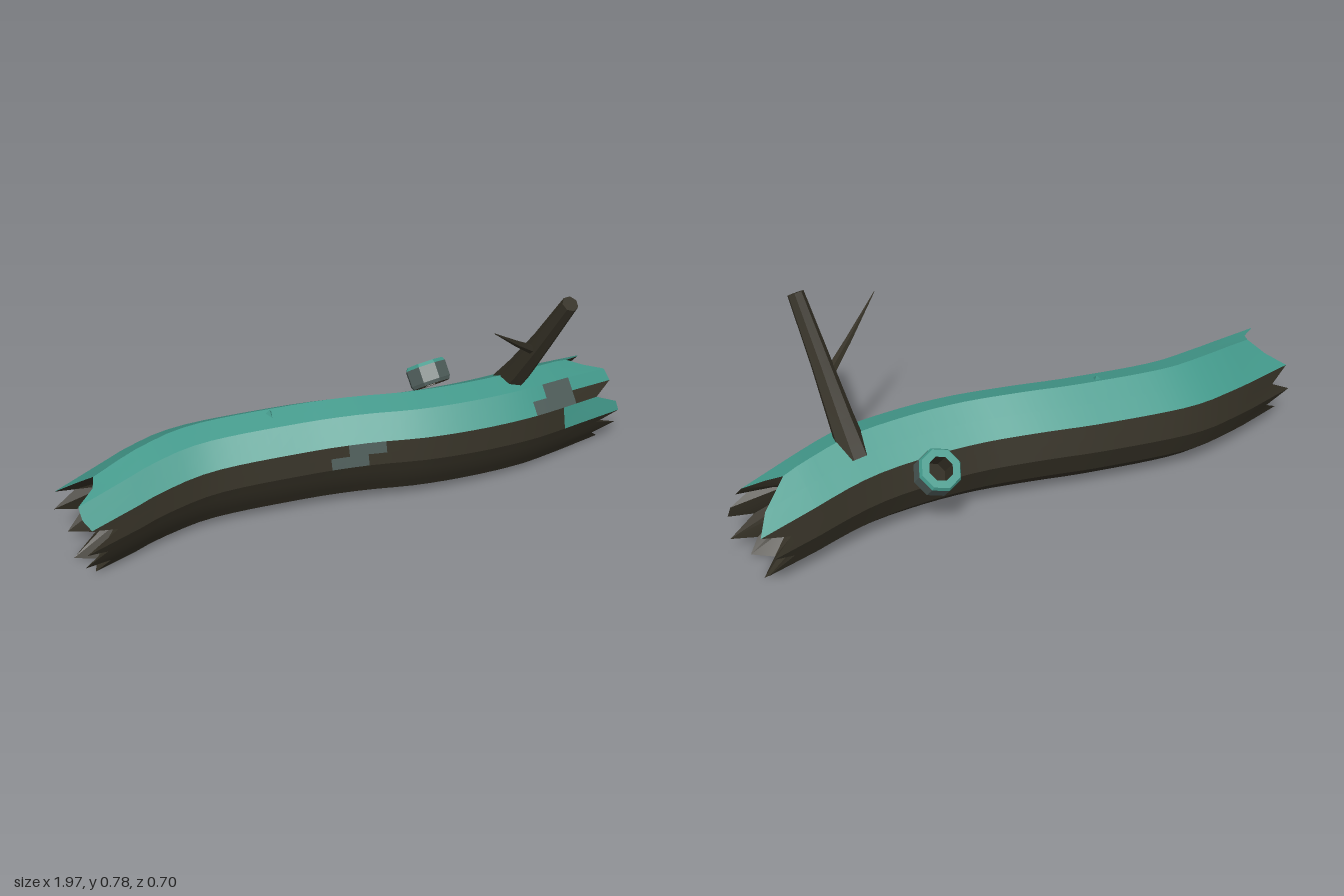
import * as THREE from 'three';
import { toCreasedNormals } from 'three/addons/utils/BufferGeometryUtils.js';

const mat = (name, color) => new THREE.MeshStandardMaterial({ name, color });

// Skins closed rings of points; pick(row, segment) gives the colour key of each quad
function loft(name, rows, pick, mats, crease = 0.4) {
  const sets = {};
  const n = rows[0].length;
  for (let i = 0; i < rows.length - 1; i++) {
    for (let k = 0; k < n; k++) {
      const m = (k + 1) % n;
      const a = rows[i][k], b = rows[i][m], c = rows[i + 1][k], d = rows[i + 1][m];
      const out = (sets[pick(i, k)] ??= []);
      for (const tri of [[a, b, c], [b, d, c]]) {
        const [p, q, r] = tri;
        if (p.distanceTo(q) < 1e-5 || q.distanceTo(r) < 1e-5 || p.distanceTo(r) < 1e-5) continue;
        tri.forEach((v) => out.push(v.x, v.y, v.z));
      }
    }
  }
  const group = new THREE.Group();
  group.name = name;
  for (const key in sets) {
    const geo = new THREE.BufferGeometry();
    geo.setAttribute('position', new THREE.Float32BufferAttribute(sets[key], 3));
    const mesh = new THREE.Mesh(toCreasedNormals(geo, crease), mats[key]);
    mesh.name = name + key[0].toUpperCase() + key.slice(1);
    group.add(mesh);
  }
  return group;
}

// Ring of points around an axis
function ring(center, axis, radius, sides) {
  const q = new THREE.Quaternion().setFromUnitVectors(new THREE.Vector3(0, 1, 0), axis);
  return Array.from({ length: sides }, (_, k) => {
    const t = (k / sides) * Math.PI * 2;
    return new THREE.Vector3(Math.sin(t) * radius, 0, Math.cos(t) * radius).applyQuaternion(q).add(center);
  });
}

// Tapered stick along points [x, y, z, radius]
function stick(name, pts, sides, mats) {
  const v = pts.map((p) => new THREE.Vector3(p[0], p[1], p[2]));
  const axis = v[v.length - 1].clone().sub(v[0]).normalize();
  const rows = pts.map((p, i) => ring(v[i], axis, p[3], sides));
  rows.push(ring(v[v.length - 1], axis, 0, sides));
  return loft(name, rows, () => 'bark', mats);
}

// Centre line of the log
const spine = new THREE.CatmullRomCurve3([
  [-1.0, 0.165, -0.125], [-0.85, 0.178, -0.15], [-0.7, 0.197, -0.18], [-0.5, 0.21, -0.19],
  [-0.2, 0.22, -0.125], [0, 0.225, -0.065], [0.2, 0.22, 0], [0.4, 0.213, 0.038],
  [0.6, 0.203, 0.05], [0.85, 0.176, 0.022], [1.0, 0.158, 0.008],
].map((p) => new THREE.Vector3(...p)), false, 'catmullrom');

function spineAt(x) {
  let lo = 0, hi = 1;
  for (let i = 0; i < 24; i++) {
    const mid = (lo + hi) / 2;
    if (spine.getPoint(mid).x < x) lo = mid; else hi = mid;
  }
  return spine.getPoint(lo);
}

// Cross-section corners [z, y], from the top round by the front
const SECTION = [
  [0, 0.172], [0.08, 0.148], [0.14, 0.07], [0.155, -0.01], [0.125, -0.085],
  [0.08, -0.16], [-0.05, -0.168], [-0.12, -0.1], [-0.157, -0.005], [-0.13, 0.09],
];
const SEGS = SECTION.length * 2;

function logPoint(x, k, scale) {
  const a = SECTION[Math.floor(k / 2)];
  const b = SECTION[Math.ceil(k / 2) % SECTION.length];
  const s = scale * (1 - 0.08 * Math.max(0, (Math.abs(x) - 0.6) / 0.4));
  const c = spineAt(x);
  return new THREE.Vector3(x, c.y + s * (a[1] + b[1]) / 2, c.z + s * (a[0] + b[0]) / 2);
}

// How far each splinter reaches at the two broken ends
const LEFT_TIPS = [0.88, 0.9, 0.97, 0.97, 0.95, 0.86, 0.98, 0.9, 0.98, 0.88, 0.93, 0.9, 0.96, 0.86, 0.95, 0.88, 0.98, 0.9, 0.98, 0.92];
const RIGHT_TIPS = [0.83, 0.88, 0.95, 0.96, 0.88, 0.97, 0.98, 0.89, 0.99, 0.9, 0.94, 0.88, 0.95, 0.88, 0.96, 0.87, 0.95, 0.88, 0.98, 0.93];

function buildLog(mats) {
  const xs = Array.from({ length: 27 }, (_, i) => -0.78 + i * 0.06);
  const at = (x, scale) => Array.from({ length: SEGS }, (_, k) => logPoint(x, k, scale));
  const tips = (list, side) => list.map((x, k) => logPoint(side * x, k, 0.97));
  // outer bark, right splinters, hollow core, back to the left splinters
  const rows = [
    tips(LEFT_TIPS, -1), ...xs.map((x) => at(x, 1)), tips(RIGHT_TIPS, 1),
    ...[0.8, 0.6, 0.4, 0.2, 0, -0.2, -0.4, -0.6, -0.8].map((x) => at(x, 0.6)),
    tips(LEFT_TIPS, -1),
  ];
  const pick = (i, k) => {
    if (i > xs.length) return 'bark';
    const x = -0.81 + i * 0.06;
    // pale patches along the moss edge
    if ((k === 4 && x > -0.06 && x < 0.07) || (k === 5 && x > -0.1 && x < 0.02)) return 'lichen';
    if ((k === 3 && x > 0.58 && x < 0.78) || (k === 2 && x > 0.68 && x < 0.78)) return 'lichen';
    if (k === 3 && x > 0.78) return 'bark';
    if ((k === 4 || k === 5) && x > 0.7) return 'moss';
    return k < 4 || k >= 18 ? 'moss' : 'bark';
  };
  return loft('log', rows, pick, mats);
}

// Short hollow knot at the back
function buildKnot(mats) {
  const axis = new THREE.Vector3(0, 0.77, -0.64).normalize();
  const center = new THREE.Vector3(0.39, 0.305, -0.18);
  const rows = [[-0.04, 0.068], [-0.028, 0.075], [0.028, 0.075], [0.04, 0.068], [0.04, 0.042], [-0.04, 0.042], [-0.04, 0.068]]
    .map(([h, r]) => ring(center.clone().addScaledVector(axis, h), axis, r, 8));
  const colours = ['lichen', 'lichen', 'moss', 'moss', 'bark', 'bark'];
  return loft('knot', rows, (i) => colours[i], mats);
}

export function createModel() {
  const mats = {
    bark: mat('bark', 0x343025),
    moss: mat('moss', 0x43998b),
    lichen: mat('lichen', 0x4e5c59),
  };
  const model = new THREE.Group();
  model.name = 'fallenLog';
  model.add(buildLog(mats), buildKnot(mats));

  // Leaning branch with a thin twig
  model.add(stick('branch', [
    [0.578, 0.31, 0.018, 0.052], [0.582, 0.42, 0.098, 0.044],
    [0.588, 0.58, 0.205, 0.035], [0.602, 0.778, 0.325, 0.028],
  ], 7, mats));
  model.add(stick('twig', [[0.585, 0.53, 0.175, 0.018], [0.48, 0.61, 0.22, 0.011], [0.345, 0.72, 0.28, 0.001]], 5, mats));

  // Small tuft of moss on top
  const tuft = new THREE.Mesh(new THREE.ConeGeometry(0.035, 0.04, 3).toNonIndexed(), mats.moss);
  tuft.name = 'mossTuft';
  tuft.geometry.computeVertexNormals();
  tuft.position.set(-0.26, 0.38, -0.12);
  model.add(tuft);
  return model;
}
